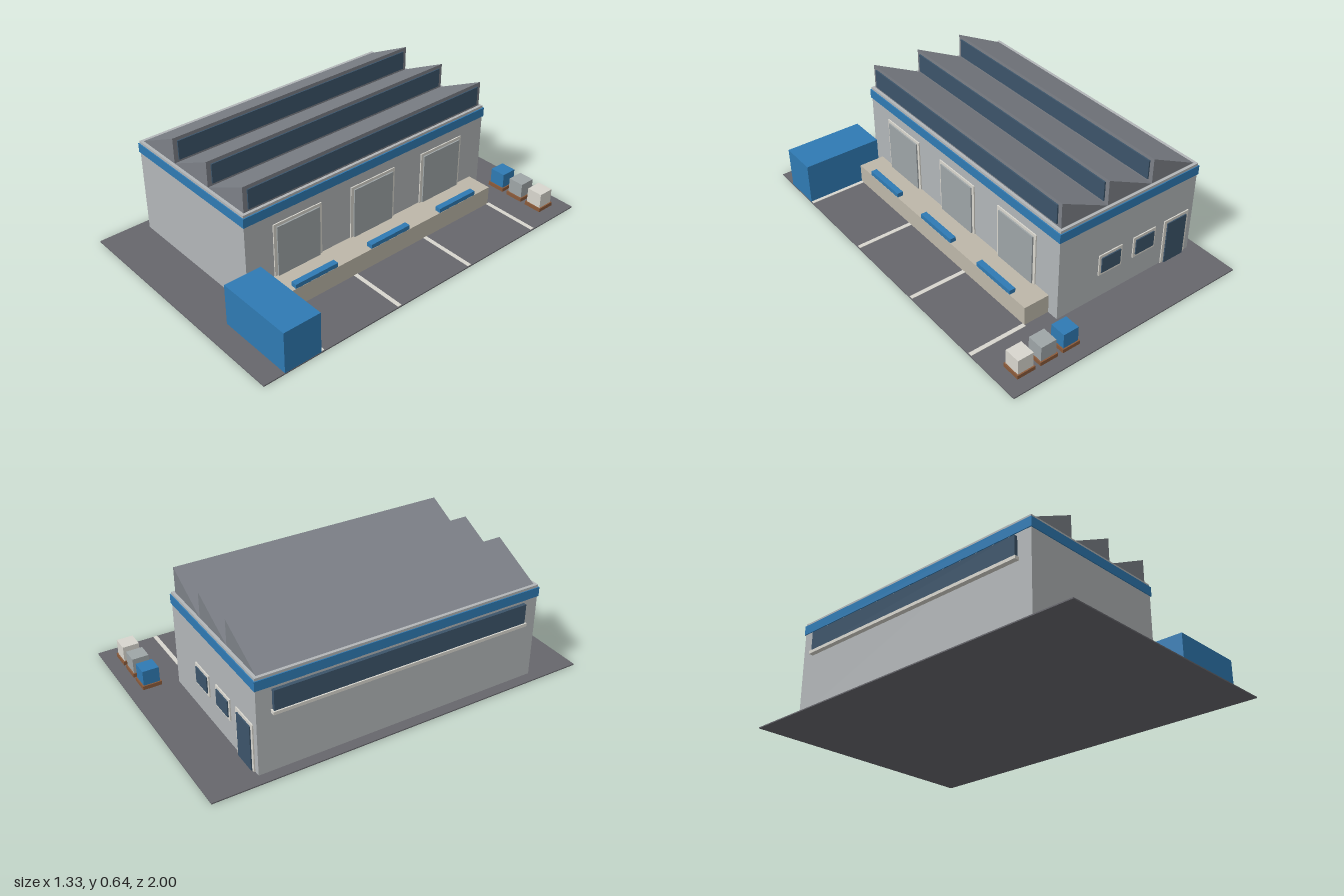
import * as THREE from 'three';

const COLORS = {
  wall: 0xb2b6b8, blue: 0x2f7ab3, glass: 0x3c546a, roof: 0x7c8087, asphalt: 0x66666c,
  concrete: 0xbdb7a9, trim: 0xd8d6ce, shutter: 0x9ea5a7, wood: 0x8a5a3a,
};
const materials = {};
for (const [key, color] of Object.entries(COLORS)) {
  materials[key] = new THREE.MeshStandardMaterial({ color, flatShading: true });
}

// Box given by its lower and upper limits on each axis
function box(parent, name, mat, [x0, x1], [y0, y1], [z0, z1]) {
  const mesh = new THREE.Mesh(new THREE.BoxGeometry(x1 - x0, y1 - y0, z1 - z0), materials[mat]);
  mesh.position.set((x0 + x1) / 2, (y0 + y1) / 2, (z0 + z1) / 2);
  mesh.name = name;
  parent.add(mesh);
  return mesh;
}

const span = (centre, size) => [centre - size / 2, centre + size / 2];

function group(parent, name) {
  const g = new THREE.Group();
  g.name = name;
  parent.add(g);
  return g;
}

export function createModel() {
  const model = new THREE.Group();
  model.name = 'warehouse';
  const GROUND = 0.006;

  // Yard and main hall
  box(model, 'yard', 'asphalt', [-0.665, 0.665], [0, GROUND], [-1, 1]);
  box(model, 'walls', 'wall', [-0.61, 0.222], [GROUND, 0.508], [-0.75, 0.75]);
  box(model, 'fasciaBand', 'blue', [-0.615, 0.228], [0.447, 0.495], [-0.755, 0.755]);

  // Sawtooth roof: sloped prisms with a glazed vertical face towards +x
  const roof = group(model, 'sawtoothRoof');
  const pitch = 0.267, rise = 0.132, length = 1.47;
  const profile = new THREE.Shape();
  profile.moveTo(0, 0);
  profile.lineTo(pitch, 0);
  profile.lineTo(pitch, rise);
  profile.closePath();
  const toothGeometry = new THREE.ExtrudeGeometry(profile, { depth: length, bevelEnabled: false });
  for (let i = 0; i < 3; i++) {
    const x = -0.594 + i * pitch;
    const tooth = new THREE.Mesh(toothGeometry, materials.roof);
    tooth.name = 'roofTooth';
    tooth.position.set(x, 0.508, -length / 2);
    roof.add(tooth);
    box(roof, 'roofGlazing', 'glass', [x + pitch - 0.002, x + pitch + 0.007], [0.522, 0.622], [-0.712, 0.712]);
  }

  // Long strip window with its sill on the -x wall
  box(model, 'stripWindow', 'glass', [-0.628, -0.608], [0.33, 0.432], [-0.672, 0.672]);
  box(model, 'stripWindowSill', 'trim', [-0.635, -0.608], [0.314, 0.33], [-0.68, 0.68]);

  // Loading dock with three framed shutters and bumpers
  const dock = group(model, 'loadingDock');
  const dockTop = 0.107;
  box(dock, 'dockPlatform', 'concrete', [0.222, 0.36], [GROUND, dockTop], [-0.69, 0.69]);
  for (const z of [-0.457, 0, 0.457]) {
    box(dock, 'shutterFrame', 'trim', [0.22, 0.228], [dockTop, 0.391], span(z, 0.278));
    box(dock, 'shutter', 'shutter', [0.22, 0.235], [dockTop, 0.376], span(z, 0.246));
    box(dock, 'dockLeveller', 'blue', [0.327, 0.359], [dockTop, 0.13], span(z, 0.248));
  }

  // Parking bay lines
  for (const z of [-0.69, -0.233, 0.225, 0.682]) {
    box(model, 'bayLine', 'trim', [0.36, 0.662], [GROUND, 0.0085], span(z, 0.021));
  }

  // Back door and two windows
  const back = group(model, 'backOpenings');
  box(back, 'doorFrame', 'trim', span(-0.501, 0.157), [GROUND, 0.256], [-0.756, -0.748]);
  box(back, 'door', 'glass', span(-0.501, 0.123), [GROUND, 0.24], [-0.762, -0.748]);
  for (const x of [-0.295, -0.084]) {
    box(back, 'windowFrame', 'trim', span(x, 0.14), [0.14, 0.255], [-0.756, -0.748]);
    box(back, 'windowPane', 'glass', span(x, 0.114), [0.156, 0.24], [-0.762, -0.748]);
  }

  // Shipping container
  box(model, 'container', 'blue', [0.249, 0.664], [GROUND, 0.224], [0.69, 0.888]);

  // Crates on pallets
  ['blue', 'shutter', 'trim'].forEach((mat, i) => {
    const x = 0.289 + i * 0.1255;
    const load = group(model, 'palletLoad');
    box(load, 'pallet', 'wood', span(x, 0.097), [GROUND, 0.026], span(-0.88, 0.097));
    box(load, 'crate', mat, span(x, 0.084), [0.026, 0.105], span(-0.88, 0.084));
  });

  return model;
}
